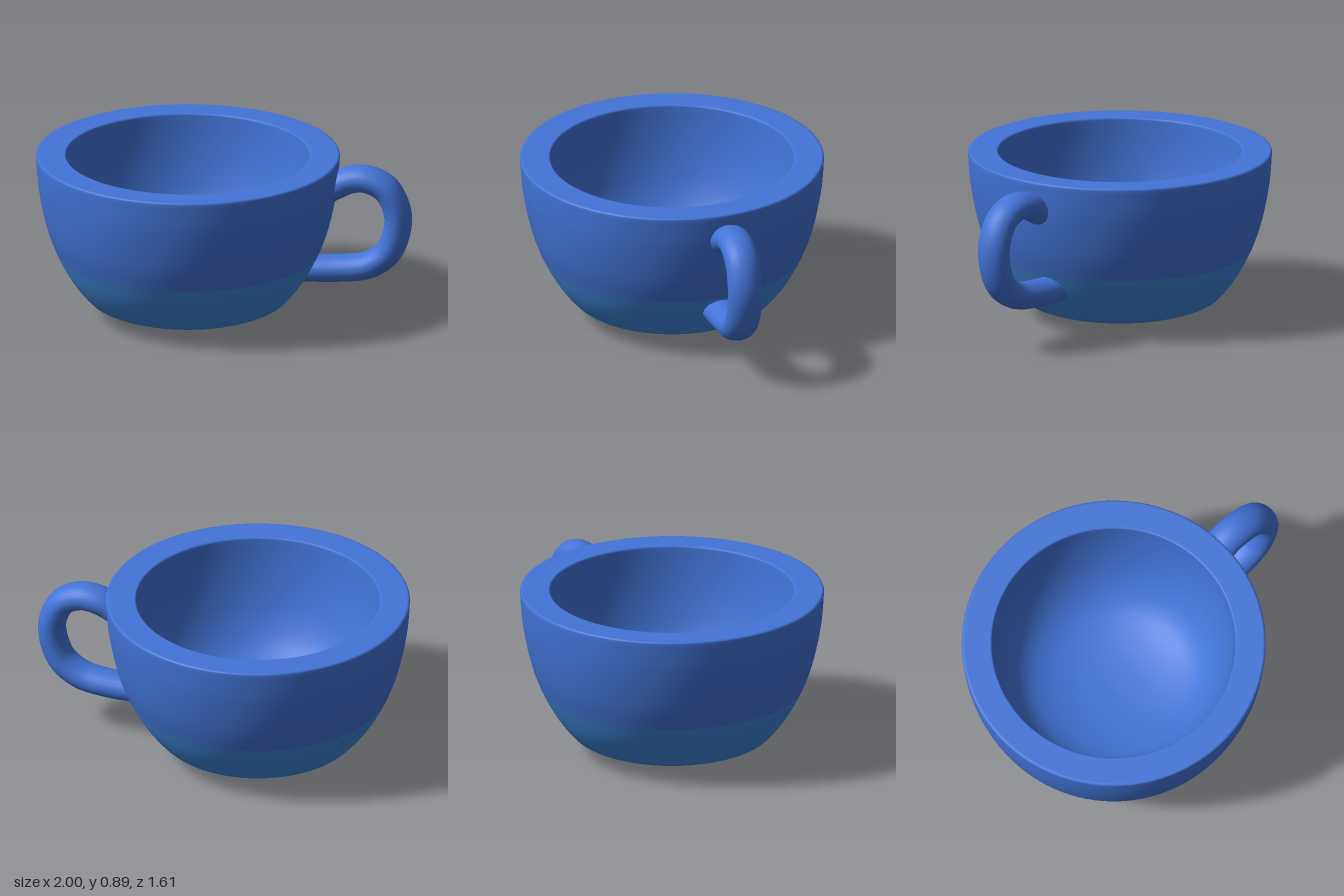
import * as THREE from 'three';

const vec2 = (pts) => pts.map(([x, y]) => new THREE.Vector2(x, y));
const smooth = (pts, n) => new THREE.SplineCurve(vec2(pts)).getPoints(n);

export function createModel() {
  const group = new THREE.Group();
  const blue = new THREE.MeshStandardMaterial({ color: 0x4374d8 });
  const lightBlue = new THREE.MeshStandardMaterial({ color: 0x4189dd });

  const add = (name, geometry, material) => {
    const mesh = new THREE.Mesh(geometry, material);
    mesh.name = name;
    group.add(mesh);
    return mesh;
  };
  const lathe = (name, points, material) => {
    add(name, new THREE.LatheGeometry(points, 96), material).position.x = -0.195;
  };

  // Rounded base with the lighter glaze
  lathe('base', smooth([
    [0, 0], [0.13, 0.004], [0.27, 0.019], [0.4, 0.045], [0.5, 0.08],
    [0.545, 0.115], [0.605, 0.19], [0.655, 0.27], [0.7, 0.36],
  ], 40), lightBlue);

  // Outer wall, flat thick rim and hollow inside in one profile
  const outer = smooth([[0.7, 0.36], [0.74, 0.47], [0.772, 0.6], [0.795, 0.74], [0.805, 0.88]], 20);
  const rim = vec2([[0.802, 0.887], [0.795, 0.89], [0.79, 0.89], [0.655, 0.89], [0.65, 0.889], [0.646, 0.885]]);
  const inner = smooth([
    [0.645, 0.88], [0.635, 0.74], [0.61, 0.58], [0.565, 0.43],
    [0.49, 0.305], [0.38, 0.225], [0.2, 0.175], [0, 0.16],
  ], 36);
  lathe('bowl', [...outer, ...rim, ...inner], blue);

  // Looped handle, wider than it is thick, its ends buried in the wall
  const path = new THREE.CatmullRomCurve3([
    [0.5, 0.69, 0.008], [0.59, 0.742, 0.006], [0.67, 0.778, 0], [0.76, 0.784, 0],
    [0.86, 0.735, 0], [0.918, 0.62, 0], [0.918, 0.51, 0], [0.865, 0.38, 0],
    [0.76, 0.305, 0], [0.62, 0.28, 0], [0.48, 0.272, 0.006], [0.38, 0.27, 0.008],
  ].map((p) => new THREE.Vector3(...p)));
  const handle = new THREE.TubeGeometry(path, 64, 0.073, 24);
  handle.scale(1, 1, 1.25);
  add('handle', handle, blue).position.z = -0.087;

  return group;
}
